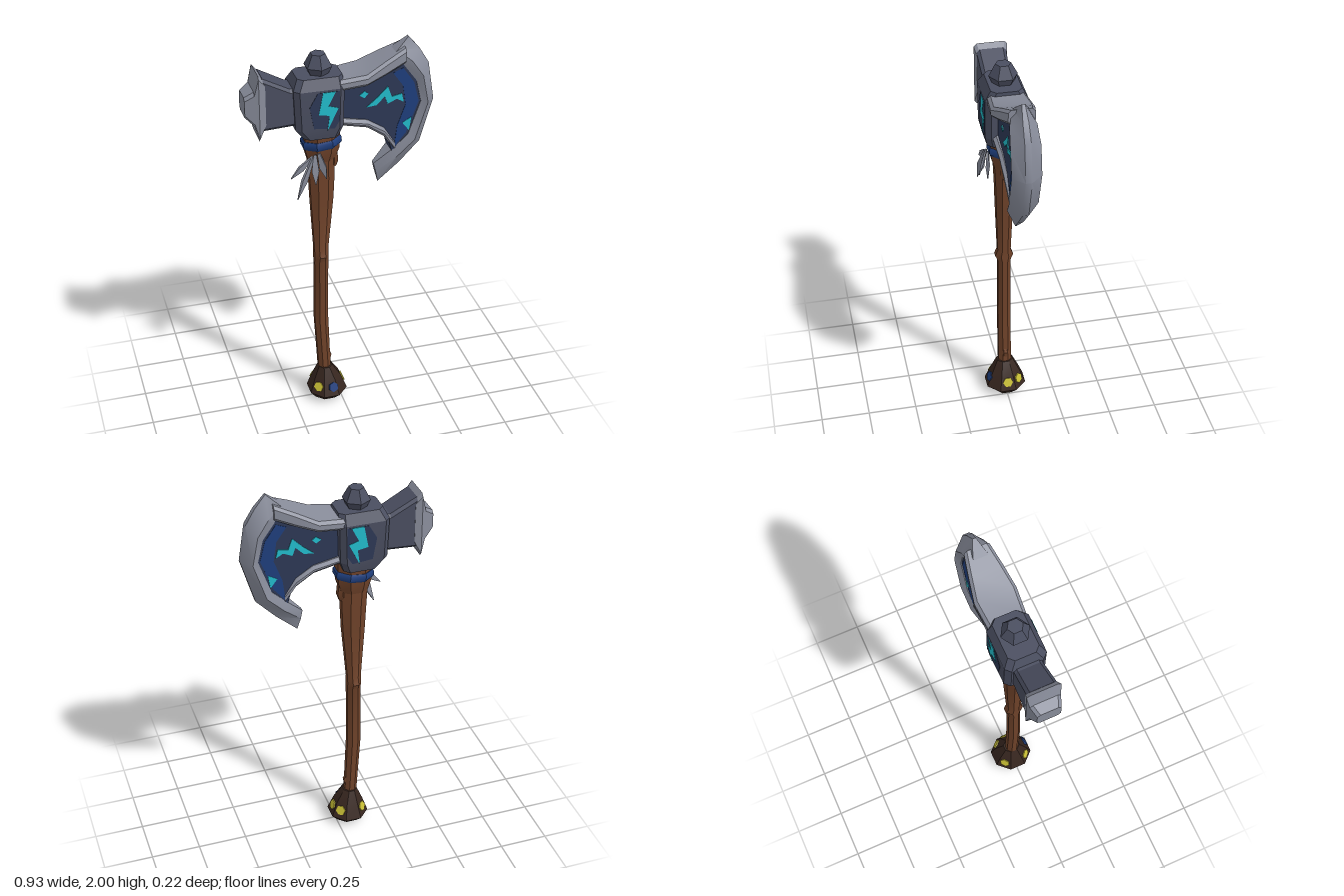
import * as THREE from 'three';
import { toCreasedNormals } from 'three/addons/utils/BufferGeometryUtils.js';

const mat = (name, color) => Object.assign(new THREE.MeshStandardMaterial({ color }), { name });

// Closed skin over a list of rings of [x, y, z] points, capped at both ends
function loft(rings, crease = 0.6) {
  const n = rings[0].length, pos = rings.flat(2), idx = [];
  rings.slice(1).forEach((_, r) => {
    for (let i = 0; i < n; i++) {
      const a = r * n + i, b = r * n + (i + 1) % n;
      idx.push(a, b, a + n, b, b + n, a + n);
    }
  });
  const last = (rings.length - 1) * n;
  for (let i = 1; i < n - 1; i++) idx.push(0, i + 1, i, last, last + i, last + i + 1);
  // A negative volume means the faces point inwards, so turn them round
  const p = i => new THREE.Vector3().fromArray(pos, i * 3);
  let volume = 0;
  for (let i = 0; i < idx.length; i += 3) volume += p(idx[i]).dot(p(idx[i + 1]).cross(p(idx[i + 2])));
  if (volume < 0) idx.reverse();
  const g = new THREE.BufferGeometry();
  g.setAttribute('position', new THREE.Float32BufferAttribute(pos, 3));
  g.setIndex(idx);
  return toCreasedNormals(g, crease);
}

// Ellipse lying flat at height y
const oval = (y, cx, rx, rz, n = 8, cz = 0) => Array.from({ length: n }, (_, i) => {
  const a = (i + 0.5) / n * Math.PI * 2;
  return [cx + Math.cos(a) * rx, y, cz + Math.sin(a) * rz];
});

// Rectangle with cut corners, as 2D points
function cutRect(u0, u1, v, c) {
  return [[u0 + c, -v], [u1 - c, -v], [u1, c - v], [u1, v - c], [u1 - c, v], [u0 + c, v], [u0, v - c], [u0, c - v]];
}
const rectAtY = ([y, x0, x1, z, c = 0.025]) => cutRect(x0, x1, z, c).map(([x, w]) => [x, y, w]);
const rectAtX = ([x, y0, y1, z, c = 0.015]) => cutRect(y0, y1, z, c).map(([y, w]) => [x, y, w]);

// Flat outline with a thickness, centred on z = 0
function plate(points, depth) {
  const shape = new THREE.Shape(points.map(([x, y]) => new THREE.Vector2(x, y)));
  return new THREE.ExtrudeGeometry(shape, { depth, bevelEnabled: false }).translate(0, 0, -depth / 2);
}

export function createModel() {
  const root = new THREE.Group();
  root.name = 'battleAxe';
  const steel = mat('lightSteel', 0x898d9b), dark = mat('darkSteel', 0x4a4e60);
  const navy = mat('navySteel', 0x2d3855), blue = mat('blue', 0x1f3e7c), cyan = mat('glowCyan', 0x22bccb);
  const wood = mat('wood', 0x70432a), bark = mat('darkWood', 0x37261f), yellow = mat('yellow', 0xc9bf36);
  const add = (name, geometry, material, parent = root) => {
    const m = new THREE.Mesh(geometry, material);
    m.name = name;
    parent.add(m);
    return m;
  };
  // Same thin plate on the front and the back
  const bothSides = (name, points, z, material) => [1, -1].forEach(s => {
    add(name + (s > 0 ? 'Front' : 'Back'), plate(points, 0.006), material).position.z = s * z;
  });

  // Handle
  add('handle', loft([
    [0.16, -0.08, 0.035, 0.036], [0.25, -0.085, 0.035, 0.036], [0.5, -0.097, 0.038, 0.036],
    [0.84, -0.095, 0.038, 0.034], [0.875, -0.095, 0.038, 0.05], [0.91, -0.095, 0.038, 0.036],
    [1.2, -0.09, 0.061, 0.046], [1.32, -0.09, 0.067, 0.049], [1.45, -0.093, 0.07, 0.055],
  ].map(a => oval(...a))), wood);
  add('lowerKnot', loft([[0.19, -0.07, 0.015, 0.015], [0.25, -0.06, 0.018, 0.02], [0.285, -0.065, 0.006, 0.01]]
    .map(a => oval(...a, 6))), wood);
  add('upperKnot', loft([[1.37, -0.035, 0.02, 0.02], [1.40, -0.03, 0.025, 0.03], [1.46, -0.03, 0.02, 0.025]]
    .map(a => oval(...a, 6))), wood);

  // Flared collar and its wrapped band
  add('collar', loft([[1.42, -0.092, 0.072, 0.055], [1.475, -0.09, 0.09, 0.072], [1.59, -0.09, 0.095, 0.08]]
    .map(a => oval(...a))), wood);
  const band = add('collarBand', loft([[-0.022, 0, 0.094, 0.076], [-0.012, 0, 0.102, 0.083],
    [0.012, 0, 0.102, 0.083], [0.022, 0, 0.094, 0.078]].map(a => oval(...a))), blue);
  band.position.set(-0.09, 1.515, 0);
  band.rotation.z = 0.1;

  // Hanging feathers: root, tip, half width
  const feathers = new THREE.Group();
  feathers.name = 'feathers';
  root.add(feathers);
  [
    [[-0.15, 1.47, 0.075], [-0.262, 1.375, 0.09], 0.022], [[-0.15, 1.47, 0.08], [-0.235, 1.265, 0.105], 0.027],
    [[-0.14, 1.48, 0.078], [-0.145, 1.335, 0.11], 0.025], [[-0.12, 1.48, 0.072], [-0.085, 1.345, 0.08], 0.024],
  ].forEach(([a, b, w]) => {
    const from = new THREE.Vector3(...a), dir = new THREE.Vector3(...b).sub(from), len = dir.length();
    const f = add('feather', loft([[0, 0, w * 0.4, 0.006], [len * 0.55, 0, w, 0.009], [len, 0, 0.002, 0.002]]
      .map(r => oval(...r, 4))), steel, feathers);
    f.position.copy(from);
    f.quaternion.setFromUnitVectors(new THREE.Vector3(0, 1, 0), dir.normalize());
  });

  // Pommel with inset gems on its sloping faces
  add('pommel', loft([[0, -0.07, 0.07, 0.065], [0.045, -0.068, 0.106, 0.112], [0.12, -0.07, 0.077, 0.08],
    [0.19, -0.078, 0.038, 0.045]].map(a => oval(...a)), 0.3), bark);
  [[0, yellow], [135, yellow], [225, yellow], [315, yellow], [80, blue]].forEach(([deg, m]) => {
    const a = deg * Math.PI / 180, tilt = 0.37;
    const gem = add('pommelGem', new THREE.CylinderGeometry(0.027, 0.027, 0.009, 6), m);
    gem.position.set(-0.069 + Math.cos(a) * 0.083, 0.092, Math.sin(a) * 0.087);
    gem.quaternion.setFromUnitVectors(new THREE.Vector3(0, 1, 0), new THREE.Vector3(
      Math.cos(a) * Math.cos(tilt), Math.sin(tilt), Math.sin(a) * Math.cos(tilt)));
  });

  // Central block of the head
  add('headBlock', loft([[1.565, -0.19, -0.02, 0.09], [1.62, -0.232, 0, 0.102], [1.82, -0.24, 0.005, 0.102],
    [1.87, -0.215, 0.002, 0.075]].map(rectAtY), 0.3), dark);
  bothSides('blockPanel', [[-0.15, 1.63], [-0.05, 1.62], [-0.025, 1.66], [-0.025, 1.81], [-0.13, 1.81], [-0.17, 1.74]],
    0.101, navy);
  bothSides('blockRune', [[-0.106, 1.81], [-0.045, 1.81], [-0.08, 1.74], [-0.032, 1.725], [-0.085, 1.615],
    [-0.075, 1.69], [-0.127, 1.70]], 0.103, cyan);

  // Knob on top
  add('topKnob', loft([[1.85, -0.102, 0.04, 0.045], [1.905, -0.102, 0.068, 0.07], [1.965, -0.102, 0.036, 0.038]]
    .map(a => oval(...a, 6)), 0.3), dark);

  // Hammer behind the block
  add('hammerNeck', loft([[-0.2, 1.64, 1.825, 0.068], [-0.25, 1.635, 1.825, 0.068], [-0.38, 1.63, 1.895, 0.072]]
    .map(rectAtX), 0.3), dark);
  add('hammerFace', loft([[-0.37, 1.65, 1.88, 0.073], [-0.402, 1.585, 1.917, 0.082], [-0.422, 1.66, 1.835, 0.074],
    [-0.466, 1.705, 1.805, 0.058]].map(rectAtX), 0.5), steel);

  // Blade web with its coloured inlays
  add('bladeWeb', plate([[-0.02, 1.63], [0.12, 1.6], [0.225, 1.52], [0.25, 1.43], [0.33, 1.5], [0.39, 1.68],
    [0.365, 1.79], [0.3, 1.88], [0.2, 1.88], [0.1, 1.83], [-0.02, 1.82]], 0.09), navy);
  bothSides('bladeInlay', [[0.3, 1.86], [0.355, 1.78], [0.38, 1.68], [0.32, 1.52], [0.262, 1.45], [0.275, 1.56],
    [0.315, 1.67], [0.3, 1.77], [0.25, 1.84]], 0.044, blue);
  bothSides('bladeRune', [[0.12, 1.68], [0.175, 1.725], [0.225, 1.775], [0.245, 1.72], [0.295, 1.73], [0.305, 1.685],
    [0.27, 1.705], [0.225, 1.685], [0.21, 1.725], [0.17, 1.685]], 0.046, cyan);
  bothSides('bladeSpark', [[0.085, 1.745], [0.11, 1.765], [0.13, 1.75], [0.11, 1.73]], 0.046, cyan);
  bothSides('edgeSpark', [[0.3, 1.575], [0.345, 1.6], [0.335, 1.53]], 0.046, cyan);

  // Cutting edge: outer x, y, inner x, y and thickness scale
  add('cuttingEdge', loft([
    [0.335, 2.0, 0.23, 1.91, 0.5], [0.39, 1.935, 0.305, 1.87, 0.9], [0.435, 1.86, 0.365, 1.79, 1],
    [0.465, 1.67, 0.39, 1.68, 1], [0.40, 1.45, 0.33, 1.51, 1], [0.3, 1.345, 0.252, 1.435, 0.85],
    [0.195, 1.25, 0.17, 1.355, 0.25],
  ].map(([ox, oy, ix, iy, s]) => [[0, 0.015], [0.6, 0.07], [1, 0.05], [1, -0.05], [0.6, -0.07], [0, -0.015]]
    .map(([t, z]) => [ox + (ix - ox) * t, oy + (iy - oy) * t, z * s])), 0.7), steel);

  // Thick ribs along the top and bottom of the blade
  add('topRib', loft([[-0.02, 1.795, 1.85, 0.092], [0.11, 1.81, 1.865, 0.102], [0.21, 1.845, 1.915, 0.083],
    [0.31, 1.885, 1.96, 0.062]].map(rectAtX), 0.5), steel);
  add('bottomRib', loft([[-0.02, 1.61, 1.645, 0.07], [0.125, 1.575, 1.615, 0.065], [0.21, 1.515, 1.56, 0.06],
    [0.265, 1.43, 1.485, 0.05]].map(rectAtX), 0.5), steel);
  return root;
}
